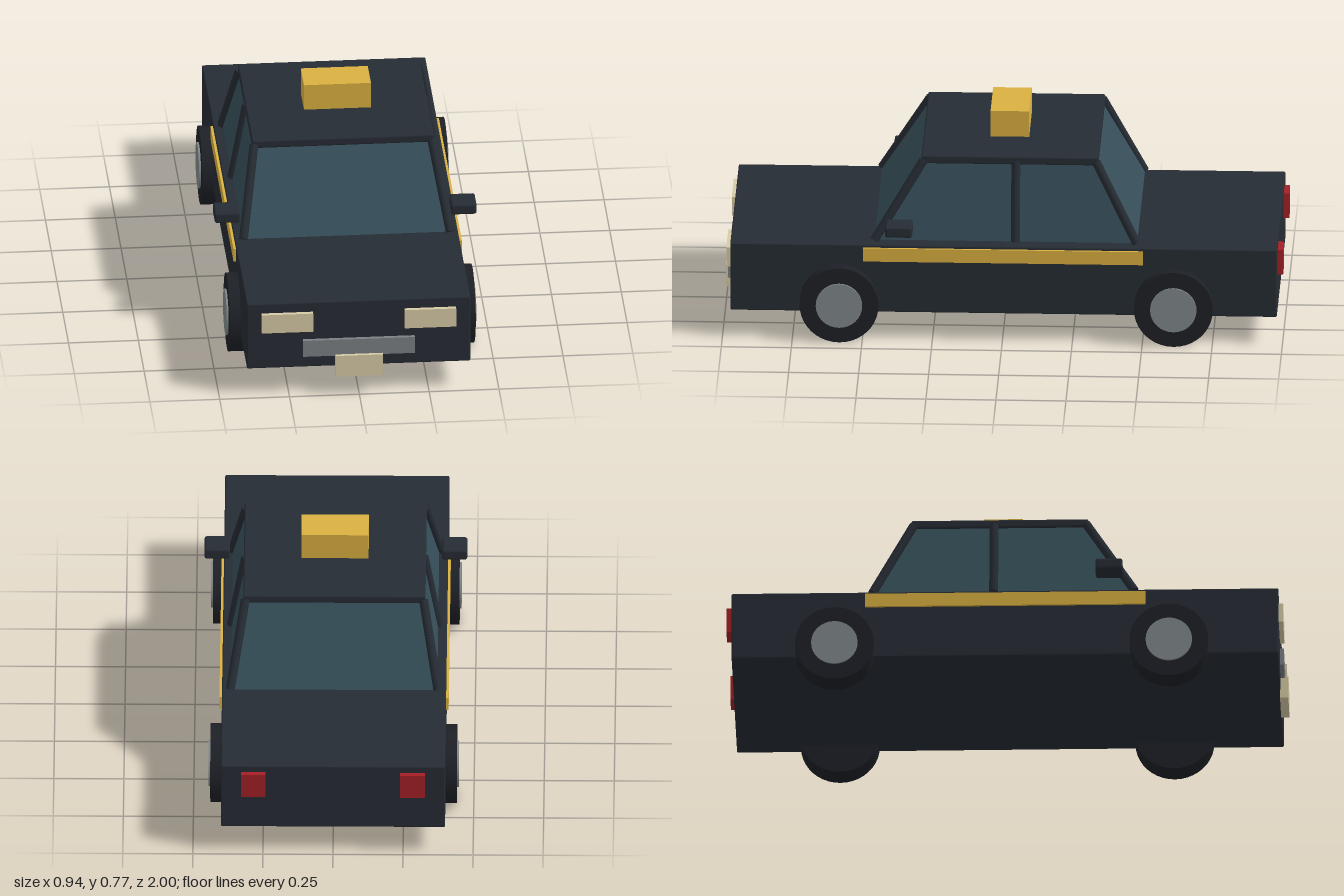
import * as THREE from 'three';
import { RoundedBoxGeometry } from 'three/addons/geometries/RoundedBoxGeometry.js';

const mat = (color) => new THREE.MeshStandardMaterial({ color });

export function createModel() {
  const car = new THREE.Group();
  car.name = 'taxiCar';
  const paint = mat(0x262c34), glass = mat(0x364f5a), yellow = mat(0xd9b040);
  const cream = mat(0xd6caa5), grey = mat(0x7a8083), red = mat(0xa32025);
  const rubber = mat(0x1d2026), hubMat = mat(0x80878a);

  const add = (name, geometry, material) => {
    const mesh = new THREE.Mesh(geometry, material);
    mesh.name = name;
    car.add(mesh);
    return mesh;
  };
  // Box given by its limits on each axis, with an optional softened edge
  const box = (name, [x0, x1], [y0, y1], [z0, z1], material, r = 0) => {
    const size = [x1 - x0, y1 - y0, z1 - z0];
    const geo = r ? new RoundedBoxGeometry(...size, 2, r) : new THREE.BoxGeometry(...size);
    add(name, geo, material).position.set((x0 + x1) / 2, (y0 + y1) / 2, (z0 + z1) / 2);
  };
  // Round post between two points
  const post = (name, a, b, r) => {
    const dir = b.clone().sub(a);
    const mesh = add(name, new THREE.CylinderGeometry(r, r, dir.length(), 16), paint);
    mesh.position.copy(a).add(b).multiplyScalar(0.5);
    mesh.quaternion.setFromUnitVectors(new THREE.Vector3(0, 1, 0), dir.normalize());
  };

  // Body and roof
  box('body', [-0.4, 0.4], [0.103, 0.358], [-0.98, 0.972], paint, 0.005);
  box('roof', [-0.325, 0.325], [0.643, 0.673], [-0.34, 0.292], paint, 0.006);

  // Glasshouse: a box tapered towards the roof
  const cabin = new THREE.BoxGeometry(1, 1, 1);
  const p = cabin.attributes.position;
  for (let i = 0; i < p.count; i++) {
    const top = p.getY(i) > 0;
    const front = p.getZ(i) > 0;
    p.setXYZ(i, Math.sign(p.getX(i)) * (top ? 0.315 : 0.368), top ? 0.65 : 0.367,
      front ? (top ? 0.282 : 0.458) : (top ? -0.33 : -0.48));
  }
  cabin.computeVertexNormals();
  add('windows', cabin, glass);

  // Front parts, roof sign
  box('grille', [-0.2, 0.2], [0.15, 0.213], [0.96, 0.987], grey);
  box('numberPlate', [-0.085, 0.085], [0.073, 0.155], [0.97, 1], cream);
  box('roofSign', [-0.12, 0.12], [0.672, 0.77], [-0.085, 0.053], yellow);

  for (const s of [-1, 1]) {
    const side = s > 0 ? 'left' : 'right';
    const span = (a, b) => (s > 0 ? [a, b] : [-b, -a]);
    box(side + 'Headlight', span(0.164, 0.348), [0.249, 0.321], [0.96, 0.988], cream);
    box(side + 'TailLight', span(0.24, 0.328), [0.24, 0.333], [-1, -0.97], red);
    box(side + 'Stripe', span(0.39, 0.409), [0.298, 0.348], [-0.503, 0.497], yellow);
    box(side + 'Mirror', span(0.378, 0.469), [0.411, 0.451], [0.32, 0.417], paint, 0.008);

    // Windscreen, door and rear pillars: [name, z at base, z at roof]
    for (const [name, zLow, zHigh] of [['Front', 0.458, 0.284], ['Middle', -0.045, -0.045], ['Rear', -0.478, -0.332]]) {
      post(side + name + 'Pillar', new THREE.Vector3(s * 0.37, 0.367, zLow),
        new THREE.Vector3(s * 0.318, 0.655, zHigh), 0.016);
    }

    // Wheels with hubcaps
    for (const [name, z] of [['Front', 0.582], ['Rear', -0.612]]) {
      const tyre = add(side + name + 'Tyre', new THREE.CylinderGeometry(0.141, 0.141, 0.094, 40), rubber);
      const hub = add(side + name + 'Hubcap', new THREE.CylinderGeometry(0.083, 0.083, 0.02, 32), hubMat);
      tyre.rotation.z = hub.rotation.z = Math.PI / 2;
      tyre.position.set(s * 0.393, 0.141, z);
      hub.position.set(s * 0.437, 0.141, z);
    }
  }
  return car;
}
